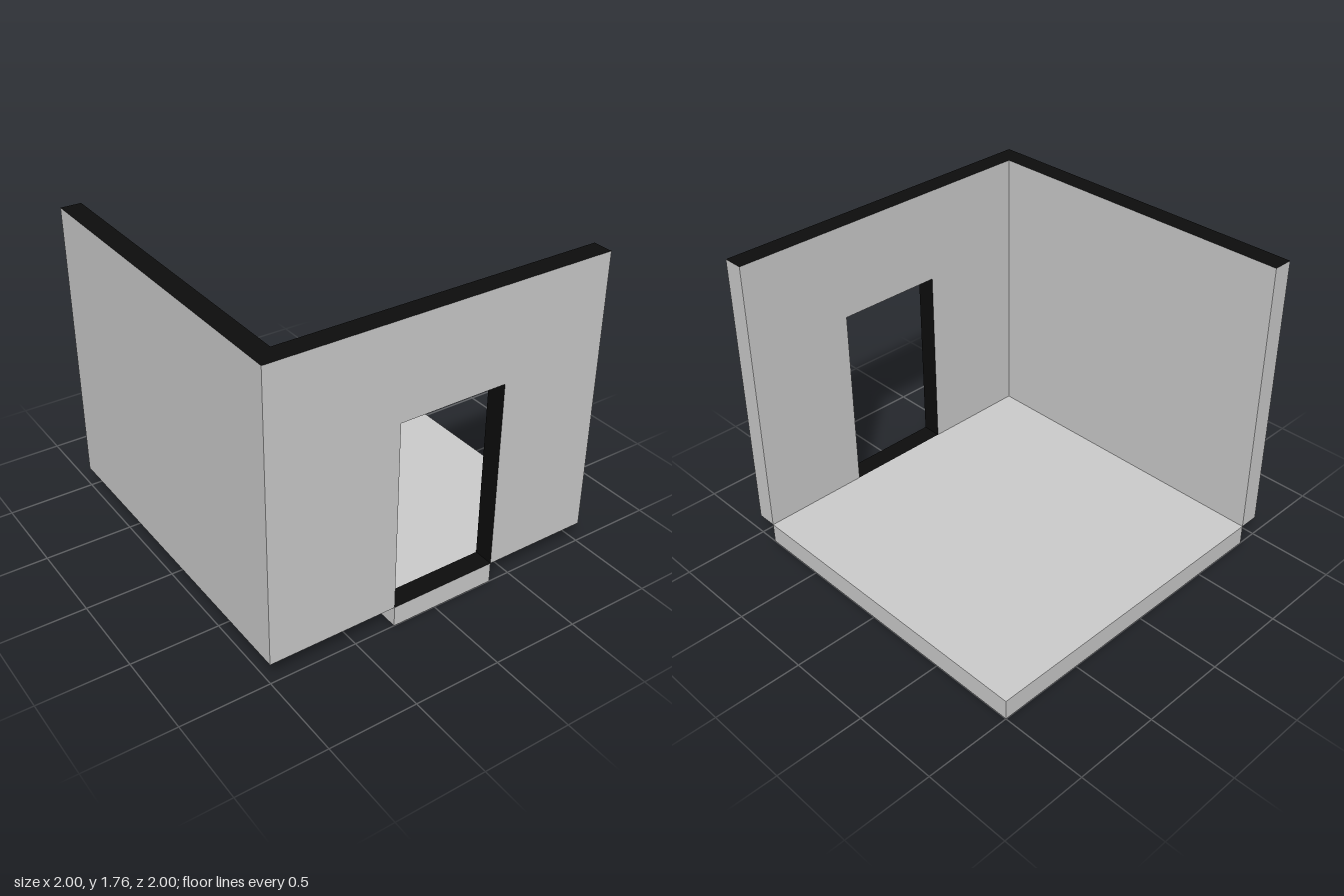
import * as THREE from 'three';

const grey = new THREE.MeshStandardMaterial({ color: 0xcccccc });
const black = new THREE.MeshStandardMaterial({ color: 0x0d0d0d });

const SLAB = 0.12, TOP = 1.765, T = 0.117; // slab height, wall top, wall thickness
const IN = 1 - T;                          // inner face of the walls
const DOOR = { x0: -0.26, x1: 0.37, top: 1.22 };

// Box between two corners; blackFaces lists faces in the order +x -x +y -y +z -z
function block(name, [x0, y0, z0], [x1, y1, z1], blackFaces = []) {
  const geo = new THREE.BoxGeometry(x1 - x0, y1 - y0, z1 - z0);
  const mats = Array.from({ length: 6 }, (_, i) => (blackFaces.includes(i) ? black : grey));
  const mesh = new THREE.Mesh(geo, blackFaces.length ? mats : grey);
  mesh.position.set((x0 + x1) / 2, (y0 + y1) / 2, (z0 + z1) / 2);
  mesh.name = name;
  return mesh;
}

// Wall outline with a doorway cut up from its lower edge
function frontWall() {
  const outline = [
    [-1, SLAB], [DOOR.x0, SLAB], [DOOR.x0, DOOR.top], [DOOR.x1, DOOR.top],
    [DOOR.x1, SLAB], [1, SLAB], [1, TOP], [-1, TOP],
  ].map(([x, y]) => new THREE.Vector2(x, y));
  const geo = new THREE.ExtrudeGeometry(new THREE.Shape(outline), { depth: T, bevelEnabled: false });

  // Black on the top edge, the door jambs and the door head
  const p = geo.attributes.position, n = geo.attributes.normal;
  geo.clearGroups();
  for (let i = 0; i < p.count; i += 3) {
    const top = n.getY(i) > 0.5;
    const head = n.getY(i) < -0.5 && p.getY(i) > 1;
    const jamb = Math.abs(n.getX(i)) > 0.5 && Math.abs(p.getX(i)) < 0.5;
    geo.addGroup(i, 3, top || head || jamb ? 1 : 0);
  }
  const mesh = new THREE.Mesh(geo, [grey, black]);
  mesh.position.z = IN;
  mesh.name = 'frontWall';
  return mesh;
}

export function createModel() {
  const model = new THREE.Group();
  model.name = 'roomCorner';
  model.add(
    block('floor', [-IN, 0, -1], [1, SLAB, IN]),
    block('sideWall', [-1, SLAB, -1], [-IN, TOP, IN], [2]),
    frontWall(),
    // Door sill filling the gap under the doorway
    block('threshold', [DOOR.x0, 0, IN], [DOOR.x1, SLAB, 1], [2, 3]),
  );
  return model;
}
